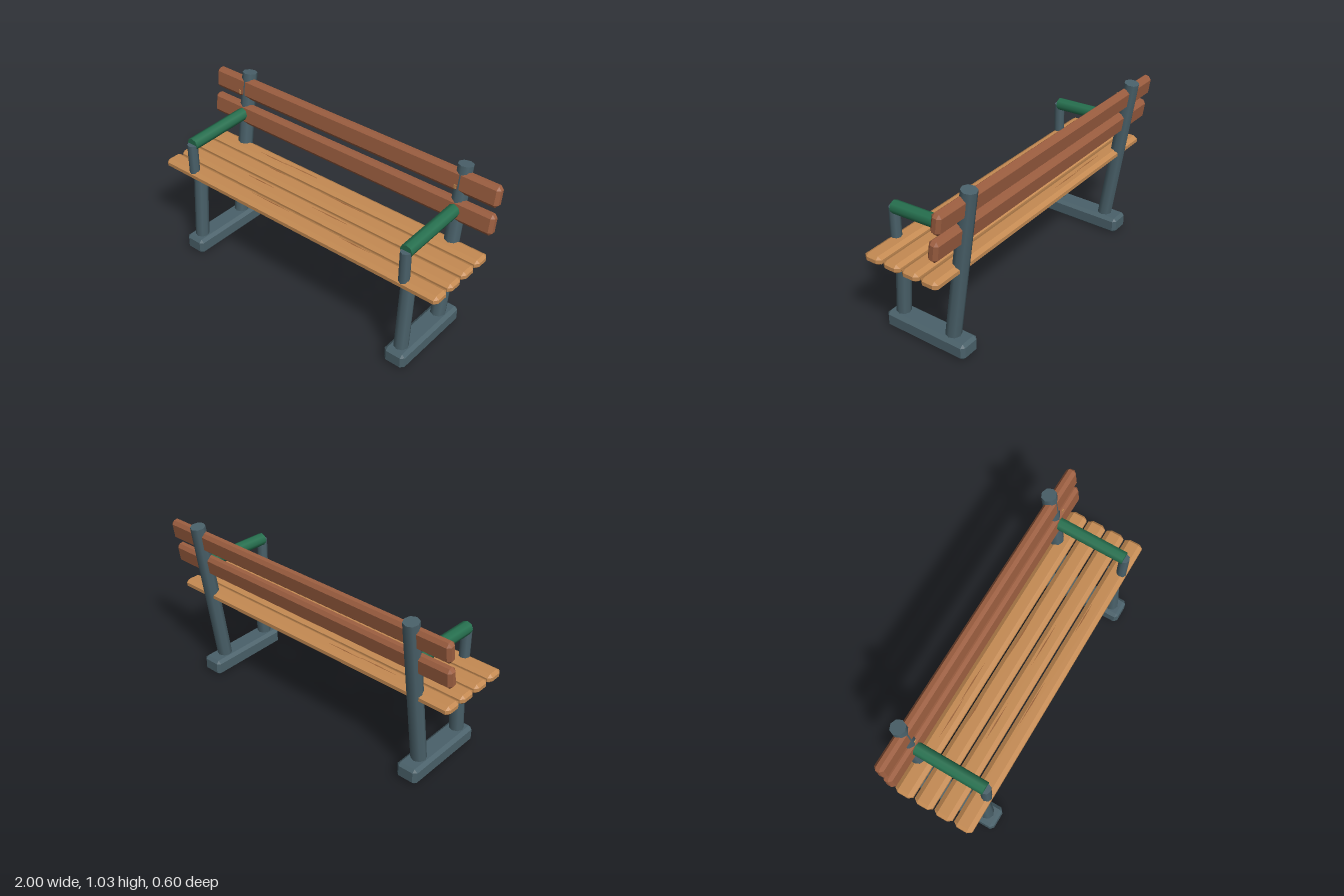
import * as THREE from 'three';
import { ConvexGeometry } from 'three/addons/geometries/ConvexGeometry.js';

const mat = (name, color) => new THREE.MeshStandardMaterial({ name, color });

// Box with chamfered edges; b is the chamfer inset along each axis
function chamferBox(w, h, d, [bx, by, bz]) {
  const pts = [];
  const [x, y, z] = [w / 2, h / 2, d / 2];
  for (const sx of [-1, 1]) for (const sy of [-1, 1]) for (const sz of [-1, 1]) {
    pts.push(
      new THREE.Vector3(sx * x, sy * (y - by), sz * (z - bz)),
      new THREE.Vector3(sx * (x - bx), sy * y, sz * (z - bz)),
      new THREE.Vector3(sx * (x - bx), sy * (y - by), sz * z));
  }
  return new ConvexGeometry(pts);
}

export function createModel() {
  const model = new THREE.Group();
  model.name = 'bench';
  const steel = mat('slate steel', 0x4a616a);
  const green = mat('green paint', 0x26704f);
  const seatWood = mat('light wood', 0xc48a52);
  const backWood = mat('red brown wood', 0x9c5e40);
  const grainWood = mat('wood grain', 0x9a6238);

  const add = (name, geometry, material, x = 0, y = 0, z = 0, tilt = 0) => {
    const mesh = new THREE.Mesh(geometry, material);
    mesh.name = name;
    mesh.position.set(x, y, z);
    mesh.rotation.x = tilt;
    model.add(mesh);
    return mesh;
  };

  // Round bar between two [y, z] points at a given x
  const bar = (name, x, [y0, z0], [y1, z1], r, material) => {
    const a = new THREE.Vector3(x, y0, z0), b = new THREE.Vector3(x, y1, z1);
    const dir = b.clone().sub(a);
    const mesh = add(name, new THREE.CylinderGeometry(r, r, dir.length(), 8), material);
    mesh.position.copy(a).add(b).multiplyScalar(0.5);
    mesh.quaternion.setFromUnitVectors(new THREE.Vector3(0, 1, 0), dir.normalize());
  };

  // Side frames
  const footGeo = chamferBox(0.134, 0.1, 0.538, [0.02, 0.018, 0.018]);
  for (const [side, x] of [['left', 0.765], ['right', -0.765]]) {
    add(side + 'Foot', footGeo, steel, x, 0.05, 0.034);
    bar(side + 'FrontLeg', x, [0.07, 0.231], [0.555, 0.197], 0.042, steel);
    bar(side + 'BackPost', x, [0.07, -0.116], [1.025, -0.257], 0.045, steel);
    bar(side + 'ArmSupport', x, [0.55, 0.244], [0.757, 0.244], 0.031, steel);
    bar(side + 'Armrest', x, [0.757, 0.244], [0.774, -0.2], 0.038, green);
    // Small fixing on the upper back slat
    add(side + 'BackFixing', new THREE.BoxGeometry(0.022, 0.024, 0.004), seatWood,
      x, 0.93, -0.165).scale.set(0.6, 1, 1);
  }

  // Seat slats
  const seatGeo = chamferBox(1.97, 0.054, 0.113, [0.018, 0.016, 0.025]);
  for (let i = 0; i < 4; i++) {
    add('seatSlat' + (i + 1), seatGeo, seatWood, 0, 0.552, 0.219 - i * 0.124);
  }

  // Back slats, leaning with the posts
  const backGeo = chamferBox(2, 0.125, 0.06, [0.018, 0.02, 0.018]);
  add('lowerBackSlat', backGeo, backWood, 0, 0.77, -0.204, -0.14);
  add('upperBackSlat', backGeo, backWood, 0, 0.932, -0.23, -0.14);

  // Slim grain marks on the seat: [x start, x end, z]
  const marks = [
    [-0.62, -0.34, -0.147], [-0.4, -0.12, -0.154],
    [-0.47, -0.3, -0.06], [-0.04, 0.3, -0.06],
    [-0.51, -0.26, 0.08], [0, 0.29, 0.08],
    [-0.35, -0.04, 0.195], [0.29, 0.51, 0.195],
  ];
  for (const [x0, x1, z] of marks) {
    const l = (x1 - x0) / 2;
    const shape = new THREE.Shape([
      new THREE.Vector2(-l, 0), new THREE.Vector2(0, -0.004),
      new THREE.Vector2(l, 0), new THREE.Vector2(0, 0.004)]);
    add('grainMark', new THREE.ShapeGeometry(shape), grainWood,
      (x0 + x1) / 2, 0.5805, z, -Math.PI / 2);
  }
  return model;
}
